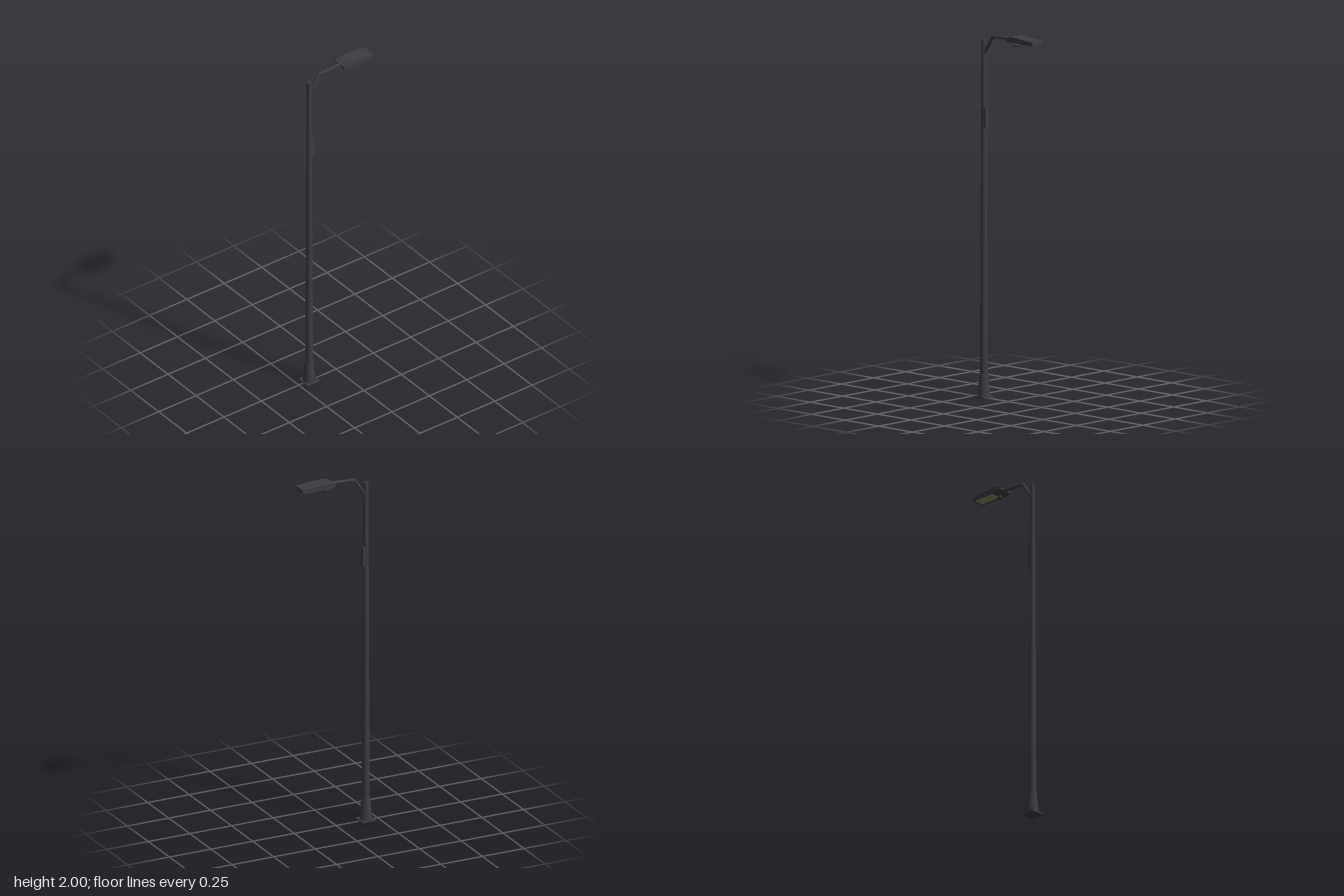
import * as THREE from 'three';

const metal = new THREE.MeshStandardMaterial({ color: 0x3c3d42 });
const glass = new THREE.MeshStandardMaterial({ color: 0x8a8468 });
const POLE_X = -0.18;

export function createModel() {
  const model = new THREE.Group();

  function add(name, geometry, x = 0, y = 0, z = 0, material = metal, parent = model) {
    const mesh = new THREE.Mesh(geometry, material);
    mesh.name = name;
    mesh.position.set(x, y, z);
    parent.add(mesh);
    return mesh;
  }

  // Upright cylinder or cone between two heights
  function column(name, rBottom, rTop, y0, y1, x = POLE_X) {
    return add(name, new THREE.CylinderGeometry(rTop, rBottom, y1 - y0, 24), x, (y0 + y1) / 2);
  }

  // Straight round bar between two points in the xy plane
  function bar(name, ax, ay, bx, by, r) {
    const length = Math.hypot(bx - ax, by - ay);
    const mesh = add(name, new THREE.CylinderGeometry(r, r, length, 16), (ax + bx) / 2, (ay + by) / 2);
    mesh.rotation.z = Math.atan2(by - ay, bx - ax) - Math.PI / 2;
  }

  // Solid prism across z from a side profile
  function prism(points, width) {
    const shape = new THREE.Shape(points.map(([x, y]) => new THREE.Vector2(x, y)));
    return new THREE.ExtrudeGeometry(shape, { depth: width, bevelEnabled: false }).translate(0, 0, -width / 2);
  }

  // Foot and tapered pole
  add('basePlate', new THREE.BoxGeometry(0.083, 0.008, 0.083), POLE_X, 0.004);
  column('baseCone', 0.035, 0.023, 0.008, 0.13);
  column('pole', 0.021, 0.0135, 0.12, 1.945);
  column('poleCap', 0.0135, 0.012, 1.945, 1.953);

  // Small equipment box on the arm side of the pole
  add('equipmentBox', new THREE.BoxGeometry(0.018, 0.11, 0.026), -0.166, 1.525);

  // Bent arm
  bar('armBrace', -0.178, 1.875, -0.11, 1.975, 0.0095);
  add('armElbow', new THREE.SphereGeometry(0.0098, 16, 10), -0.11, 1.975);
  bar('armReach', -0.11, 1.975, 0.05, 1.983, 0.0095);

  // Lamp head: wedge-shaped shell with a rim around a recessed lens
  const head = new THREE.Group();
  head.name = 'lampHead';
  model.add(head);
  add('headShell', prism([
    [0.021, 1.977], [0.06, 1.978], [0.22, 1.974], [0.22, 1.989], [0.06, 2], [0.021, 1.988],
  ], 0.083), 0, 0, 0, metal, head);
  add('headNeck', prism([
    [0.021, 1.977], [0.04, 1.968], [0.075, 1.968], [0.075, 1.98], [0.021, 1.98],
  ], 0.083), 0, 0, 0, metal, head);

  const rim = new THREE.Shape();
  rim.moveTo(-0.0725, -0.0415).lineTo(0.0725, -0.0415).lineTo(0.0725, 0.0415).lineTo(-0.0725, 0.0415).closePath();
  const opening = new THREE.Path();
  opening.moveTo(-0.064, -0.033).lineTo(-0.064, 0.033).lineTo(0.064, 0.033).lineTo(0.064, -0.033).closePath();
  rim.holes.push(opening);
  const rimGeometry = new THREE.ExtrudeGeometry(rim, { depth: 0.01, bevelEnabled: false });
  rimGeometry.rotateX(-Math.PI / 2);
  add('lensRim', rimGeometry, 0.1475, 1.9685, 0, metal, head).rotation.z = -0.018;
  add('lens', new THREE.BoxGeometry(0.128, 0.003, 0.066), 0.1475, 1.9745, 0, glass, head).rotation.z = -0.018;

  // Light sensor hanging under the neck
  column('sensorStem', 0.006, 0.006, 1.948, 1.972, 0.057);
  add('sensorBulb', new THREE.SphereGeometry(0.016, 20, 12).scale(1, 0.6, 1), 0.057, 1.949);

  return model;
}
